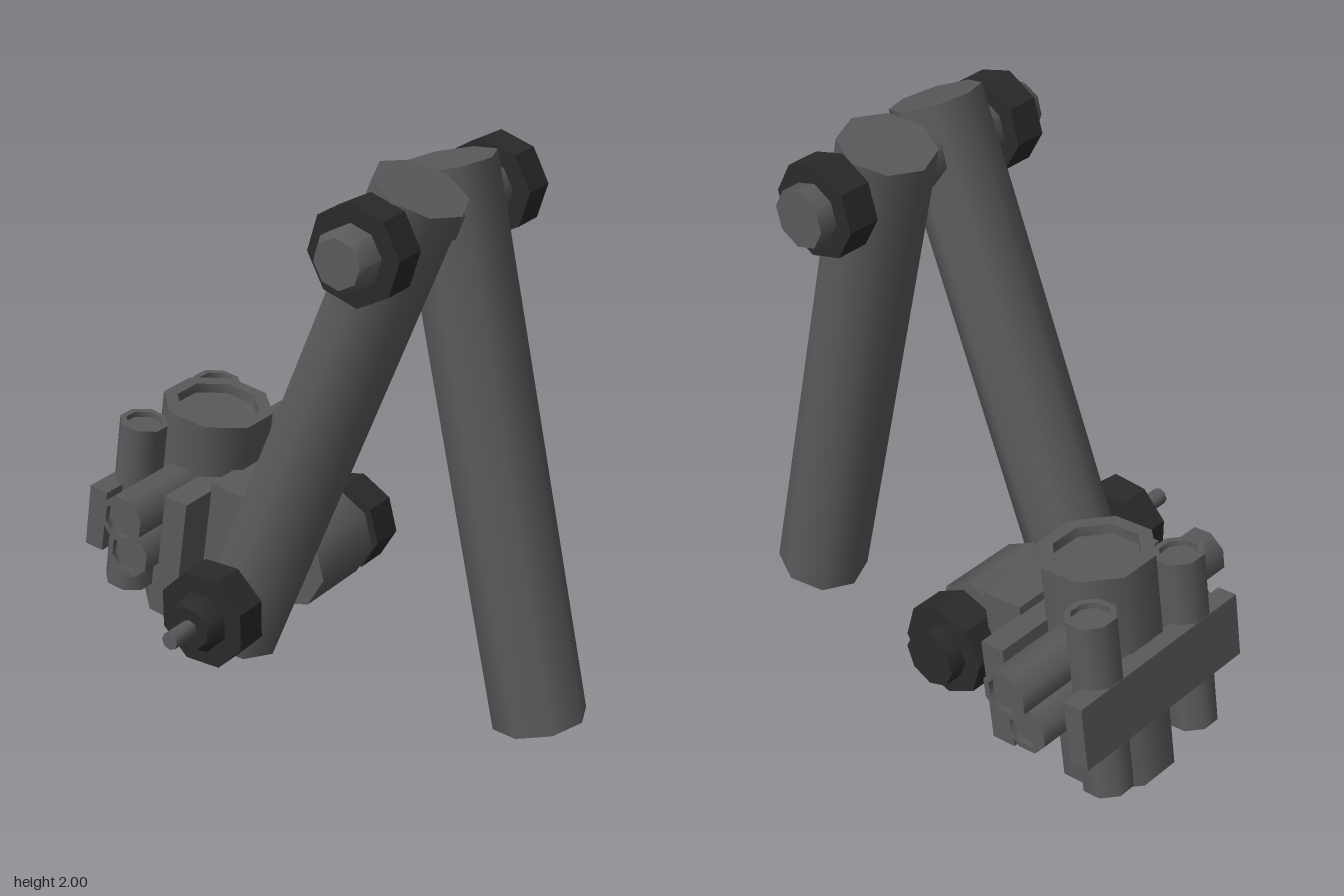
import * as THREE from 'three';
import { toCreasedNormals } from 'three/addons/utils/BufferGeometryUtils.js';

const SMOOTH = 0.9, FACETED = 0.5;
const FLAT = Math.PI / 8; // turns the octagon so flats lie on the axes
const HEAD_TILT = -0.145;

export function createModel() {
  const model = new THREE.Group();
  const grey = new THREE.MeshStandardMaterial({ color: 0x5a5a5c });
  grey.name = 'gunmetal grey';
  const dark = new THREE.MeshStandardMaterial({ color: 0x2a2a2b });
  dark.name = 'dark grey';

  const add = (name, geometry, material, x, y, z, tilt = 0) => {
    const mesh = new THREE.Mesh(geometry, material);
    mesh.name = name;
    mesh.position.set(x, y, z);
    mesh.rotation.z = tilt;
    model.add(mesh);
    return mesh;
  };

  // Eight-sided turned part from [radius, height] pairs
  const turned = (profile, phase = 0, crease = SMOOTH) => toCreasedNormals(
    new THREE.LatheGeometry(profile.map(([r, h]) => new THREE.Vector2(r, h)), 8, phase), crease);

  const solid = (r, a, b, phase, crease) =>
    turned([[0, a], [r, a], [r, b], [0, b]], phase, crease);

  // Cylinder with a recessed face inside a rim at both ends
  const rimmed = (r, length, depth) => {
    const h = length / 2, i = r * 0.75;
    return turned([[0, depth - h], [i, depth - h], [i, -h], [r, -h],
      [r, h], [i, h], [i, h - depth], [0, h - depth]], FLAT);
  };

  const alongZ = (geometry) => geometry.rotateX(Math.PI / 2);

  // Octagonal tube between two points at one depth
  const limb = (name, r, top, bottom, z) => {
    const dx = top[0] - bottom[0], dy = top[1] - bottom[1];
    const half = Math.hypot(dx, dy) / 2;
    add(name, solid(r, -half, half), grey,
      (top[0] + bottom[0]) / 2, (top[1] + bottom[1]) / 2, z, Math.atan2(-dx, dy));
  };

  // Two long arms
  limb('rearArm', 0.16, [0.36, 1.93], [0.755, 0.09], -0.11);
  limb('frontArm', 0.155, [0.46, 1.94], [-0.235, 0.27], 0.205);

  // Upper joint
  const top = [0.397, 1.797];
  add('upperAxle', alongZ(turned([[0, -0.46], [0.1, -0.46], [0.1, 0.525], [0.08, 0.555], [0, 0.555]])),
    grey, ...top, 0, 0.09);
  for (const [name, a, b] of [['upperFrontCollar', 0.355, 0.47], ['upperRearCollar', -0.395, -0.28]]) {
    add(name, alongZ(solid(0.161, a, b, 0, FACETED)), dark, ...top, 0, 0.09);
  }

  // Elbow joint
  const elbow = [-0.18, 0.432];
  add('elbowFrontCollar', alongZ(solid(0.168, 0.358, 0.475, FLAT, FACETED)), dark, ...elbow, 0);
  add('elbowCap', alongZ(turned([[0, 0.3], [0.1, 0.3], [0.1, 0.5], [0.075, 0.54], [0, 0.54]], FLAT)),
    dark, ...elbow, 0);
  add('elbowPin', alongZ(solid(0.03, 0.5, 0.645)), grey, ...elbow, 0);
  add('elbowAxle', alongZ(solid(0.1, -0.53, 0.3)), dark, -0.195, 0.432, 0);
  add('elbowRearCollar', alongZ(solid(0.164, -0.467, -0.345, 0, FACETED)), dark, -0.195, 0.432, 0, HEAD_TILT);
  add('elbowSleeve', alongZ(solid(0.165, -0.31, -0.01)), grey, -0.195, 0.432, 0, HEAD_TILT);

  // Head: main barrel with bottom pin
  add('headBarrel', rimmed(0.194, 0.8, 0.035), grey, -0.632, 0.48, -0.165, HEAD_TILT);
  add('headPin', solid(0.028, -0.06, 0.06), grey, -0.694, 0.063, -0.167, HEAD_TILT);

  // Mounting blocks and outer plate
  const blocks = [
    ['mountBlock', 0.155, 0.43, 0.435, -0.397, 0.467, -0.157],
    ['crossPlate', 0.09, 0.365, 0.75, -0.513, 0.488, -0.175],
    ['outerPlate', 0.072, 0.23, 0.75, -0.835, 0.51, -0.175],
  ];
  for (const [name, w, h, d, x, y, z] of blocks) {
    add(name, new THREE.BoxGeometry(w, h, d), grey, x, y, z, HEAD_TILT);
  }

  // Small barrels: two crosswise, two upright
  add('upperCrossBarrel', alongZ(rimmed(0.088, 0.97, 0.02)), grey, -0.625, 0.61, -0.16, HEAD_TILT);
  add('lowerCrossBarrel', alongZ(rimmed(0.088, 0.845, 0.02)), grey, -0.652, 0.45, -0.158, HEAD_TILT);
  for (const z of [-0.385, 0.035]) {
    add('uprightBarrel', rimmed(0.086, 0.64, 0.02), grey, -0.787, 0.524, z, HEAD_TILT);
  }
  return model;
}
